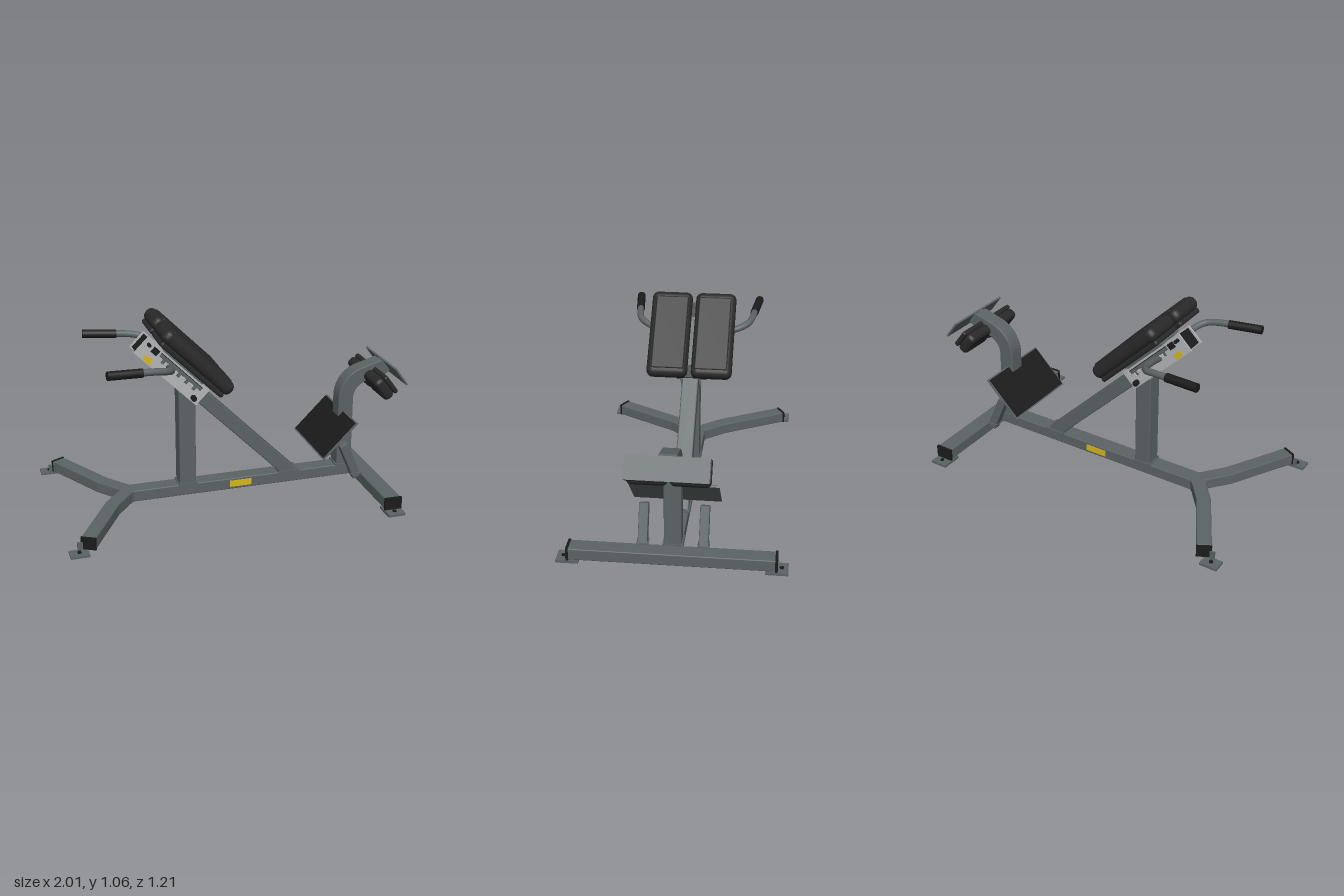
import * as THREE from 'three';
import { RoundedBoxGeometry } from 'three/addons/geometries/RoundedBoxGeometry.js';

const mat = (name, color) => Object.assign(new THREE.MeshStandardMaterial({ color }), { name });

export function createModel() {
  const steel = mat('grey painted steel', 0x5c6365);
  const silver = mat('silver plate', 0xb4b6b8);
  const vinyl = mat('dark vinyl', 0x292929);
  const black = mat('black rubber', 0x1b1b1b);
  const yellow = mat('yellow label', 0xd6b81e);
  const V3 = (x, y, z) => new THREE.Vector3(x, y, z);

  const model = new THREE.Group();
  model.name = 'backExtensionBench';

  const add = (name, geo, m, pos = [0, 0, 0], parent = model) => {
    const mesh = new THREE.Mesh(geo, m);
    mesh.name = name;
    mesh.position.set(...pos);
    parent.add(mesh);
    return mesh;
  };
  const box = (name, size, m, pos, parent) => add(name, new THREE.BoxGeometry(...size), m, pos, parent);
  const pad = (name, size, r, m, pos, parent) => add(name, new RoundedBoxGeometry(...size, 4, r), m, pos, parent);
  const group = (name, x, y, angle) => {
    const g = new THREE.Group();
    g.name = name;
    g.position.set(x, y, 0);
    g.rotation.z = angle;
    model.add(g);
    return g;
  };

  // Outline of a strip of given width along a mitred polyline
  const strip = (points, width) => {
    const p = points.map(([x, y]) => new THREE.Vector2(x, y));
    const left = [], right = [];
    p.forEach((c, i) => {
      const a = c.clone().sub(p[Math.max(i - 1, 0)]).normalize();
      const b = p[Math.min(i + 1, p.length - 1)].clone().sub(c).normalize();
      const t = a.clone().add(b).normalize();
      const ref = a.lengthSq() ? a : b;
      const k = width / 2 / t.dot(ref);
      left.push(new THREE.Vector2(c.x - t.y * k, c.y + t.x * k));
      right.unshift(new THREE.Vector2(c.x + t.y * k, c.y - t.x * k));
    });
    return new THREE.Shape([...left, ...right]);
  };
  // Square tube with softened edges, centred in depth
  const tube = (points, width, depth, b = 0.006) => new THREE.ExtrudeGeometry(strip(points, width), {
    depth: depth - 2 * b, bevelThickness: b, bevelSize: b, bevelOffset: -b, bevelSegments: 2,
  }).translate(0, 0, b - depth / 2);

  // Base frame
  pad('mainBeam', [1.38, 0.066, 0.094], 0.006, steel, [0.08, 0.053, 0]);
  pad('rearCrossTube', [0.094, 0.066, 1.08], 0.006, steel, [0.797, 0.053, 0]);
  for (const s of [1, -1]) {
    add('frontLeg', tube([[-0.56, 0], [-0.60, 0.03 * s], [-0.70, 0.155 * s], [-0.895, 0.505 * s]], 0.08, 0.066)
      .rotateX(Math.PI / 2), steel, [0, 0.053, 0]);
    const cap = box('frontLegCap', [0.082, 0.068, 0.012], black, [-0.898, 0.053, 0.51 * s]);
    cap.rotation.y = -0.508 * s;
    box('frontFoot', [0.1, 0.012, 0.075], steel, [-0.95, 0.008, 0.527 * s]);
    box('frontFootBracket', [0.06, 0.05, 0.008], steel, [-0.925, 0.035, 0.497 * s]);
    box('rearTubeCap', [0.1, 0.07, 0.014], black, [0.797, 0.053, 0.543 * s]);
    box('rearFoot', [0.1, 0.014, 0.12], steel, [0.797, 0.008, 0.545 * s]);
    for (const [x, z] of [[-0.95, 0.527], [0.797, 0.57]])
      add('footBolt', new THREE.CylinderGeometry(0.011, 0.011, 0.01, 6), black, [x, 0.018, z * s]);
    box('beamLabel', [0.13, 0.038, 0.004], yellow, [0.07, 0.054, 0.048 * s]);
  }

  // Upright post and sloping beam
  pad('frontPost', [0.095, 0.58, 0.094], 0.006, steel, [-0.242, 0.36, 0]);
  box('postFlange', [0.108, 0.01, 0.108], steel, [-0.242, 0.088, 0]);
  add('slopingBeam', tube([[0.38, 0.07], [-0.43, 0.88]], 0.078, 0.092), steel);
  box('beamFlange', [0.125, 0.01, 0.108], steel, [0.362, 0.088, 0]);

  // Adjustable pad carriage, tilted along the sloping beam
  const carriage = group('padCarriage', -0.325, 0.775, -Math.PI / 4);
  const plate = new THREE.Shape([[-0.24, -0.057], [0.24, -0.057], [0.24, 0.057], [-0.24, 0.057]]
    .map(([x, y]) => new THREE.Vector2(x, y)));
  const slot = [[-0.12, 0.042], [0.205, 0.042], [0.205, 0.018]];
  for (let i = 4; i >= 0; i--) {
    const u = -0.09 + i * 0.06;
    slot.push([u + 0.025, 0.018], [u + 0.025, -0.004], [u, -0.004], [u, 0.018]);
  }
  slot.push([-0.12, 0.018]);
  plate.holes.push(new THREE.Path(slot.map(([x, y]) => new THREE.Vector2(x, y))));
  box('sliderCore', [0.465, 0.096, 0.088], black, [0, 0, 0], carriage);
  for (const s of [1, -1]) {
    add('notchedPlate', new THREE.ExtrudeGeometry(plate, { depth: 0.008, bevelEnabled: false }),
      silver, [0, 0, 0.054 * s - 0.004], carriage);
    box('plateLabel', [0.055, 0.03, 0.004], yellow, [-0.155, -0.036, 0.059 * s], carriage);
    box('plateStop', [0.04, 0.035, 0.012], black, [-0.155, 0.025, 0.06 * s], carriage);
    for (const [u, v, r] of [[0.195, -0.033, 0.016], [-0.21, 0.03, 0.01]])
      add('plateBolt', new THREE.CylinderGeometry(r, r, 0.03, 12).rotateX(Math.PI / 2), black,
        [u, v, 0.07 * s], carriage);
    for (let i = 0; i < 4; i++)
      add('notchPin', new THREE.CylinderGeometry(0.009, 0.009, 0.016, 10).rotateX(Math.PI / 2), silver,
        [-0.045 + i * 0.06, 0.012, 0.062 * s], carriage);
    // Hip cushion: backing, body and raised panel
    box('cushionMount', [0.3, 0.03, 0.05], steel, [0.02, 0.07, 0.06 * s], carriage);
    pad('cushionBacking', [0.47, 0.03, 0.205], 0.012, vinyl, [0.01, 0.09, 0.125 * s], carriage);
    pad('hipCushion', [0.515, 0.08, 0.23], 0.036, vinyl, [0.01, 0.14, 0.125 * s], carriage);
    pad('cushionPanel', [0.44, 0.02, 0.185], 0.009, vinyl, [0.01, 0.176, 0.122 * s], carriage);
  }
  box('cushionBridge', [0.3, 0.012, 0.2], steel, [0.02, 0.07, 0], carriage);

  // Handles
  for (const s of [1, -1]) {
    const path = new THREE.CatmullRomCurve3([
      V3(-0.34, 0.80, 0.05 * s), V3(-0.36, 0.835, 0.17 * s), V3(-0.38, 0.856, 0.26 * s),
      V3(-0.42, 0.875, 0.312 * s), V3(-0.48, 0.886, 0.33 * s), V3(-0.57, 0.892, 0.34 * s)]);
    add('handleBar', new THREE.TubeGeometry(path, 32, 0.019, 12), steel);
    const a = V3(-0.55, 0.89, 0.338 * s), b = V3(-0.738, 0.9, 0.36 * s);
    const grip = add('handleGrip', new THREE.CylinderGeometry(0.024, 0.024, a.distanceTo(b), 16), black,
      a.clone().add(b).multiplyScalar(0.5).toArray());
    grip.quaternion.setFromUnitVectors(V3(0, 1, 0), b.clone().sub(a).normalize());
  }

  // Curved rear column
  const column = [[0.705, 0.07], [0.705, 0.50]];
  for (let i = 1; i <= 12; i++) {
    const a = Math.PI - (i / 12) * 1.29;
    column.push([0.845 + 0.14 * Math.cos(a), 0.50 + 0.14 * Math.sin(a)]);
  }
  column.push([0.925, 0.669]);
  add('curvedColumn', tube(column, 0.09, 0.092), steel);
  box('columnFlange', [0.105, 0.01, 0.108], steel, [0.705, 0.088, 0]);

  // Ankle pads hung beneath the column end; local x points out along the face normal
  const ankle = group('ankleRest', 0.885, 0.605, 0.64);
  box('ankleBackPlate', [0.01, 0.125, 0.42], steel, [0.1, -0.005, 0], ankle);
  box('ankleBracket', [0.05, 0.075, 0.075], steel, [0.075, 0.015, 0], ankle);
  for (const s of [1, -1]) {
    pad('anklePad', [0.065, 0.145, 0.205], 0.026, vinyl, [-0.02, 0, 0.109 * s], ankle);
    pad('anklePadBacking', [0.028, 0.125, 0.2], 0.01, vinyl, [0.025, 0, 0.115 * s], ankle);
  }

  // Footrest plate with rubber tread and two struts
  const foot = group('footrest', 0.6, 0.32, Math.PI / 4);
  box('footPlate', [0.285, 0.01, 0.47], steel, [0, 0, 0], foot);
  box('footTread', [0.268, 0.006, 0.454], black, [0, 0.007, 0], foot);
  for (const s of [1, -1]) {
    add('footStrut', tube([[0.735, 0.06], [0.643, 0.272]], 0.05, 0.05, 0.004), steel, [0, 0, 0.16 * s]);
    box('strutFlange', [0.07, 0.01, 0.062], steel, [0.728, 0.084, 0.16 * s]);
  }
  return model;
}
